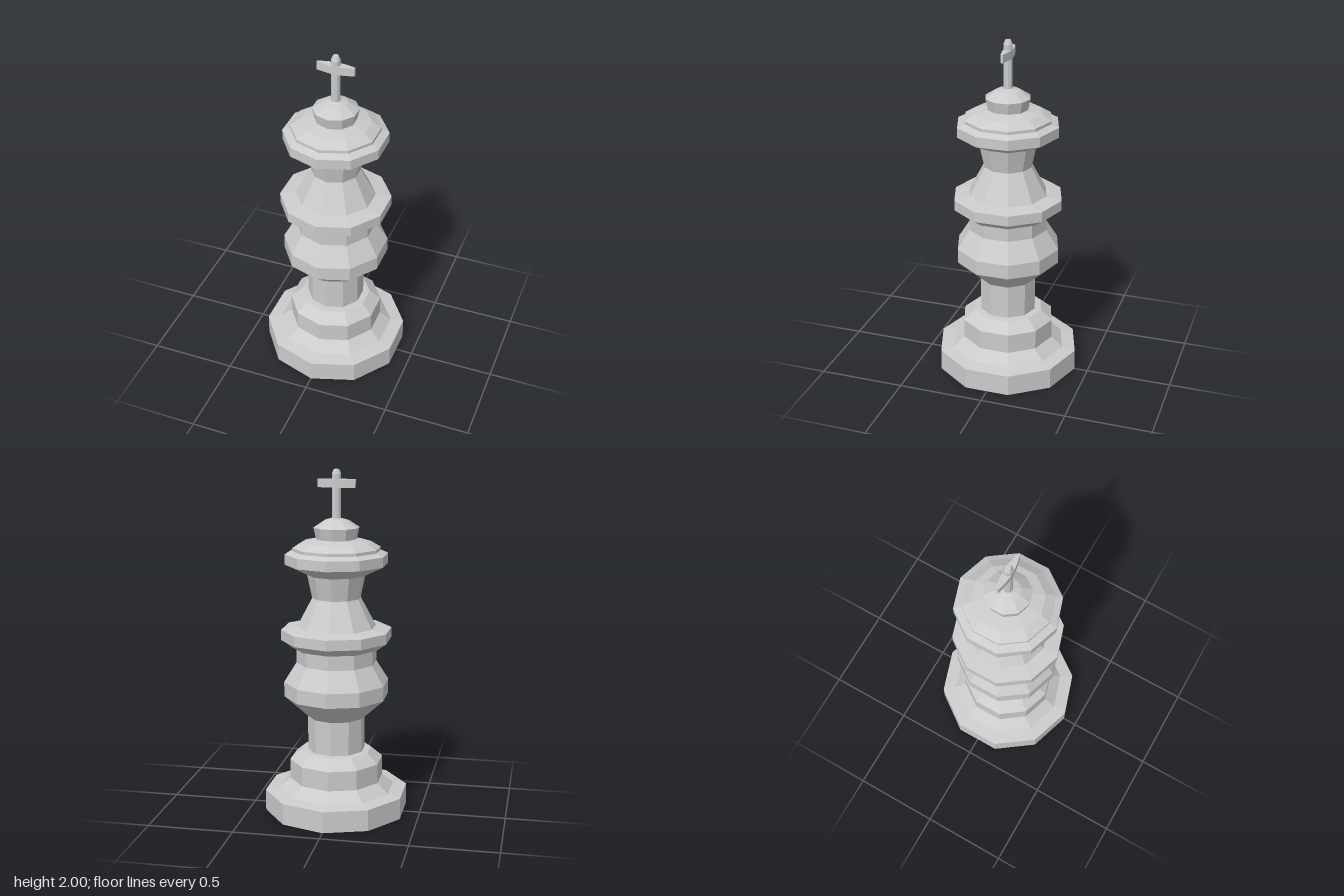
import * as THREE from 'three';

const material = new THREE.MeshStandardMaterial({ color: 0xcccccc, flatShading: true });

// Ten-sided turned section from [radius, height] pairs, listed bottom to top
function turned(name, profile) {
  const points = profile.map(([r, y]) => new THREE.Vector2(r, y));
  const mesh = new THREE.Mesh(new THREE.LatheGeometry(points, 10), material);
  mesh.name = name;
  return mesh;
}

// Crossbar: lens-shaped in plan, widest at the post
function crossbar() {
  const outline = [[-0.108, -0.007], [-0.05, -0.02], [0, -0.026], [0.05, -0.02],
    [0.108, -0.007], [0.108, 0.007], [0.05, 0.02], [0, 0.026], [-0.05, 0.02], [-0.108, 0.007]];
  const shape = new THREE.Shape(outline.map(([x, z]) => new THREE.Vector2(x, z)));
  const geometry = new THREE.ExtrudeGeometry(shape, { depth: 0.047, bevelEnabled: false });
  geometry.rotateX(-Math.PI / 2);
  const mesh = new THREE.Mesh(geometry, material);
  mesh.position.y = 1.898;
  mesh.name = 'crossbar';
  return mesh;
}

export function createModel() {
  const model = new THREE.Group();
  model.name = 'chessKing';

  model.add(
    turned('base', [[0, 0], [0.42, 0], [0.42, 0.125], [0.34, 0.138], [0.273, 0.195],
      [0.273, 0.31], [0.206, 0.367], [0.167, 0.37]]),
    turned('lowerColumn', [[0.167, 0.37], [0.167, 0.57]]),
    turned('belly', [[0.167, 0.57], [0.305, 0.695], [0.305, 0.78], [0.233, 0.895], [0.233, 0.983]]),
    turned('middleRing', [[0.233, 0.983], [0.257, 0.985], [0.32, 1.03], [0.32, 1.09], [0.229, 1.105]]),
    turned('shoulder', [[0.229, 1.105], [0.14, 1.272]]),
    turned('neck', [[0.14, 1.272], [0.168, 1.405]]),
    // Head collar with a stepped, sloping top
    turned('collar', [[0.168, 1.405], [0.296, 1.467], [0.296, 1.525], [0.253, 1.543],
      [0.253, 1.56], [0.2, 1.592], [0.117, 1.61]]),
    turned('crown', [[0.117, 1.61], [0.131, 1.675], [0.07, 1.715], [0.026, 1.727]]),
    turned('crossPost', [[0.026, 1.72], [0.026, 1.975], [0.016, 2], [0, 2]]),
    crossbar(),
  );
  return model;
}
